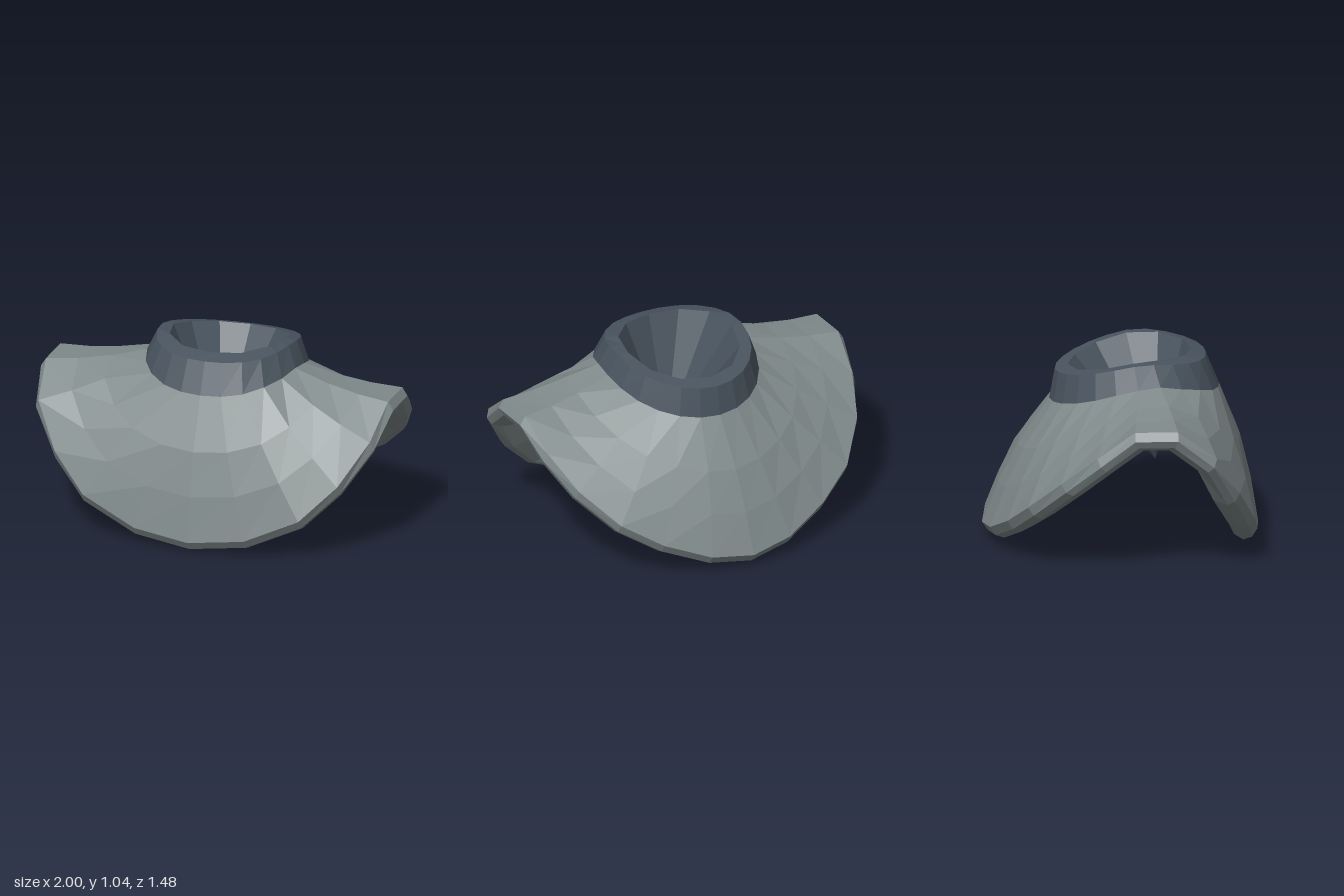
import * as THREE from 'three';

const V = (x, y, z) => new THREE.Vector3(x, y, z);
const HALF = 12, SEG = HALF * 2;

// Mirror a half loop (front centre, round the left side, to back centre)
function mirrorLoop(half) {
  const rest = half.slice(1, -1).reverse().map(p => V(-p.x, p.y, p.z));
  return [...half, ...rest];
}

// Faceted skin through a series of loops
function loft(rings) {
  const pos = [];
  const tri = (a, b, c) => {
    const n = b.clone().sub(a).cross(c.clone().sub(a));
    if (n.length() > 1e-7) for (const p of [a, b, c]) pos.push(p.x, p.y, p.z);
  };
  for (let r = 0; r < rings.length - 1; r++) {
    const a = rings[r], b = rings[r + 1];
    for (let i = 0; i < SEG; i++) {
      const j = (i + 1) % SEG;
      tri(a[i], a[j], b[j]);
      tri(a[i], b[j], b[i]);
    }
  }
  const g = new THREE.BufferGeometry();
  g.setAttribute('position', new THREE.Float32BufferAttribute(pos, 3));
  g.computeVertexNormals();
  return g;
}

// Piecewise height along z, from [z, y] pairs running front to back
function heightAt(pairs, z) {
  for (let i = 0; i < pairs.length - 1; i++) {
    const [z0, y0] = pairs[i], [z1, y1] = pairs[i + 1];
    if (z >= z1) return y0 + (y1 - y0) * (z0 - z) / (z0 - z1);
  }
  return pairs[pairs.length - 1][1];
}

// Oval loop, fuller at the front corners, whose height follows z
function ovalLoop(cz, rx, rz, pairs, full) {
  const half = [];
  for (let i = 0; i <= HALF; i++) {
    const t = Math.PI * i / HALF;
    const f = i < HALF / 2 ? 1 + full * Math.sin(2 * t) ** 2 : 1;
    const z = cz + f * rz * Math.cos(t);
    half.push(V(i % HALF ? f * rx * Math.sin(t) : 0, heightAt(pairs, z), z));
  }
  return mirrorLoop(half);
}

// Coarse loop: straight edges between a few [index, corner] keys
function cornerLoop(keys) {
  const half = [keys[0][1]];
  for (let k = 1; k < keys.length; k++) {
    const [i0, a] = keys[k - 1], [i1, b] = keys[k];
    for (let i = i0 + 1; i <= i1; i++) half.push(a.clone().lerp(b, (i - i0) / (i1 - i0)));
  }
  return mirrorLoop(half);
}

export function createModel() {
  const group = new THREE.Group();
  const capeGrey = new THREE.MeshStandardMaterial({ color: 0x808a8b, side: THREE.DoubleSide, flatShading: true });
  capeGrey.name = 'cape grey';
  const collarBlue = new THREE.MeshStandardMaterial({ color: 0x49545f, side: THREE.DoubleSide, flatShading: true });
  collarBlue.name = 'collar slate blue';

  // Upper edge of the cape rim
  const rim = mirrorLoop([
    V(0, 0.06, 0.74), V(0.31, 0.10, 0.72), V(0.61, 0.24, 0.69), V(0.80, 0.43, 0.60),
    V(0.94, 0.66, 0.47), V(0.97, 0.82, 0.26), V(0.97, 0.82, 0.03), V(0.94, 0.67, -0.17),
    V(0.86, 0.51, -0.36), V(0.70, 0.34, -0.53), V(0.49, 0.21, -0.63), V(0.24, 0.11, -0.71),
    V(0, 0.075, -0.74),
  ]);

  // Rim roll: shifts differ between the low ends and the high sides
  const rollLoop = (lowZ, lowY, sideZ, sideY, sx, midZ) => rim.map(p => {
    const h = (p.y - 0.06) / 0.76, t = h ** 3;
    const dz = lowZ + (sideZ - lowZ) * t + midZ * Math.sin(Math.PI * h);
    const dy = lowY + (sideY - lowY) * t;
    return V(p.x * (1 + sx * Math.min(1, t + 0.2)), p.y + dy, p.z - Math.sign(p.z - 0.15) * dz);
  });
  const rimOuter = rollLoop(0.03, -0.045, 0.0, -0.045, 0.03, 0);
  const rimBottom = rollLoop(0.075, -0.06, 0.02, -0.085, 0.01, 0);
  const rimInner = rollLoop(0.12, -0.03, 0.045, -0.11, -0.04, 0.03);

  // Neck opening, shared by cape and collar
  const neck = ovalLoop(0.075, 0.43, 0.455,
    [[0.53, 0.83], [0.40, 0.88], [0.20, 0.92], [0.03, 0.90], [-0.38, 0.76]], 0.05);

  // Coarse ridge inside the cape, where the lining turns up to the neck
  const lining = cornerLoop([
    [0, V(0, 0.43, 0.47)], [4, V(0.42, 0.565, 0.36)], [5, V(0.53, 0.725, 0.24)],
    [6, V(0.53, 0.735, 0.05)], [8, V(0.43, 0.56, -0.18)], [12, V(0, 0.41, -0.34)],
  ]);

  // Loops between rim and neck, bulged at front and back
  const between = (t, bulge) => rim.map((p, i) => {
    const q = p.clone().lerp(neck[i], t);
    const c = Math.cos(Math.PI * 2 * i / SEG);
    q.z += bulge * c;
    q.y -= 0.015 * (1 - c * c);
    return q;
  });

  const cape = new THREE.Mesh(loft([
    neck, lining, rimInner, rimBottom, rimOuter, rim,
    between(0.32, 0.028), between(0.63, 0.035), neck,
  ]), capeGrey);
  cape.name = 'cape';
  group.add(cape);

  // Collar band, its lip and the pointed twelve-sided funnel inside
  const collarTop = ovalLoop(0.055, 0.38, 0.405,
    [[0.46, 1.0], [0.2, 1.03], [0.1, 1.032], [0, 1.014], [-0.2, 0.963], [-0.35, 0.92]], 0.05);
  const innerOval = ovalLoop(0.05, 0.32, 0.33,
    [[0.38, 1.024], [0.2, 1.038], [0.1, 1.036], [0, 1.014], [-0.28, 0.943]], 0.03);
  const collarInner = cornerLoop([0, 2, 4, 6, 8, 10, 12].map(i => [i, innerOval[i]]));
  const tip = rim.map(() => V(0, 0.41, 0.19));

  const collar = new THREE.Mesh(loft([neck, collarTop, collarInner]), collarBlue);
  collar.name = 'collar';
  const funnel = new THREE.Mesh(loft([collarInner, tip]), collarBlue);
  funnel.name = 'neckFunnel';
  group.add(collar, funnel);
  return group;
}
